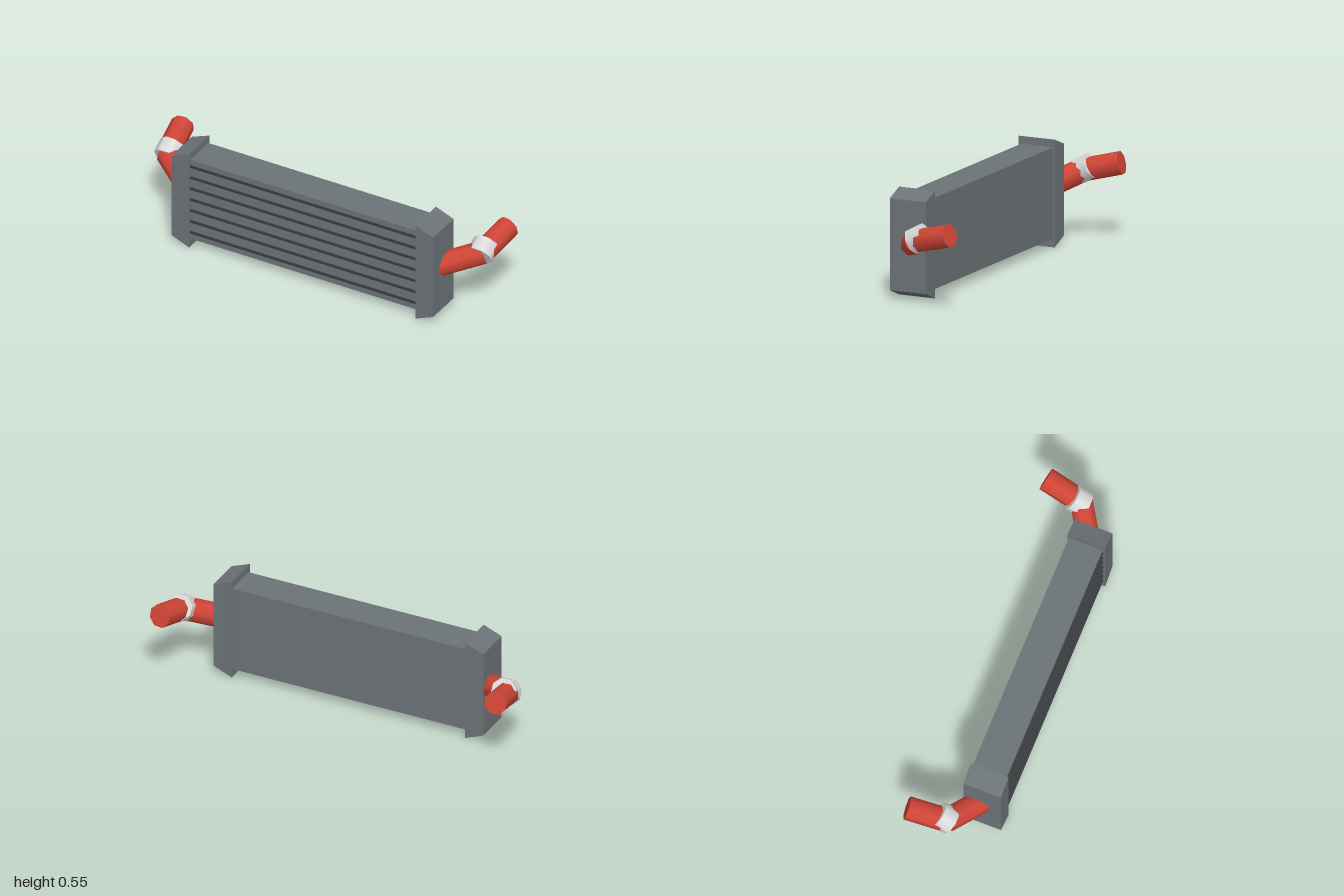
import * as THREE from 'three';

const paint = (name, color) => {
  const m = new THREE.MeshStandardMaterial({ color });
  m.name = name;
  return m;
};

export function createModel() {
  const metal = paint('grey metal', 0x6c7377);
  const dark = paint('dark slat', 0x393c40);
  const red = paint('red rubber', 0xd04536);
  const silver = paint('pale clamp', 0xdcdcdc);
  const group = new THREE.Group();
  group.name = 'intercooler';

  const add = (name, geometry, material) => {
    const mesh = new THREE.Mesh(geometry, material);
    mesh.name = name;
    group.add(mesh);
    return mesh;
  };

  // Eight-sided tube between two points
  const tube = (name, a, b, radius, material) => {
    const from = new THREE.Vector3(...a), to = new THREE.Vector3(...b);
    const g = new THREE.CylinderGeometry(radius, radius, from.distanceTo(to), 8, 1, false, Math.PI / 8);
    g.rotateX(Math.PI / 2);
    const mesh = add(name, g, material);
    mesh.position.copy(from).lerp(to, 0.5);
    mesh.lookAt(to);
  };

  // Core block
  const core = add('core', new THREE.BoxGeometry(1.32, 0.468, 0.18), metal);
  core.position.set(0, 0.279, 0.12);

  // Dark slats across the front
  for (let i = 0; i < 7; i++) {
    const slat = add('slat', new THREE.BoxGeometry(1.31, 0.013, 0.008), dark);
    slat.position.set(0, 0.085 + i * 0.065, 0.212);
  }

  for (const s of [1, -1]) {
    const side = s > 0 ? 'left' : 'right';

    // End tank with sloped top and bottom
    const profile = new THREE.Shape([[0.655, 0], [0.757, 0.042], [0.757, 0.513], [0.655, 0.553]]
      .map(([x, y]) => new THREE.Vector2(s * x, y)));
    const tank = new THREE.ExtrudeGeometry(profile, { depth: 0.203, bevelEnabled: false });
    tank.translate(0, 0, 0.022);
    add(side + 'Tank', tank, metal);

    // Bent hose and its clamp
    const bend = [s * 0.912, 0.35, -0.004];
    tube(side + 'InnerHose', [s * 0.726, 0.283, 0.115], bend, 0.061, red);
    tube(side + 'OuterHose', bend, [s * 0.942, 0.401, -0.207], 0.061, red);
    tube(side + 'Clamp', [s * 0.907, 0.34, 0.0175], [s * 0.907, 0.38, -0.0525], 0.069, silver);
  }
  return group;
}
